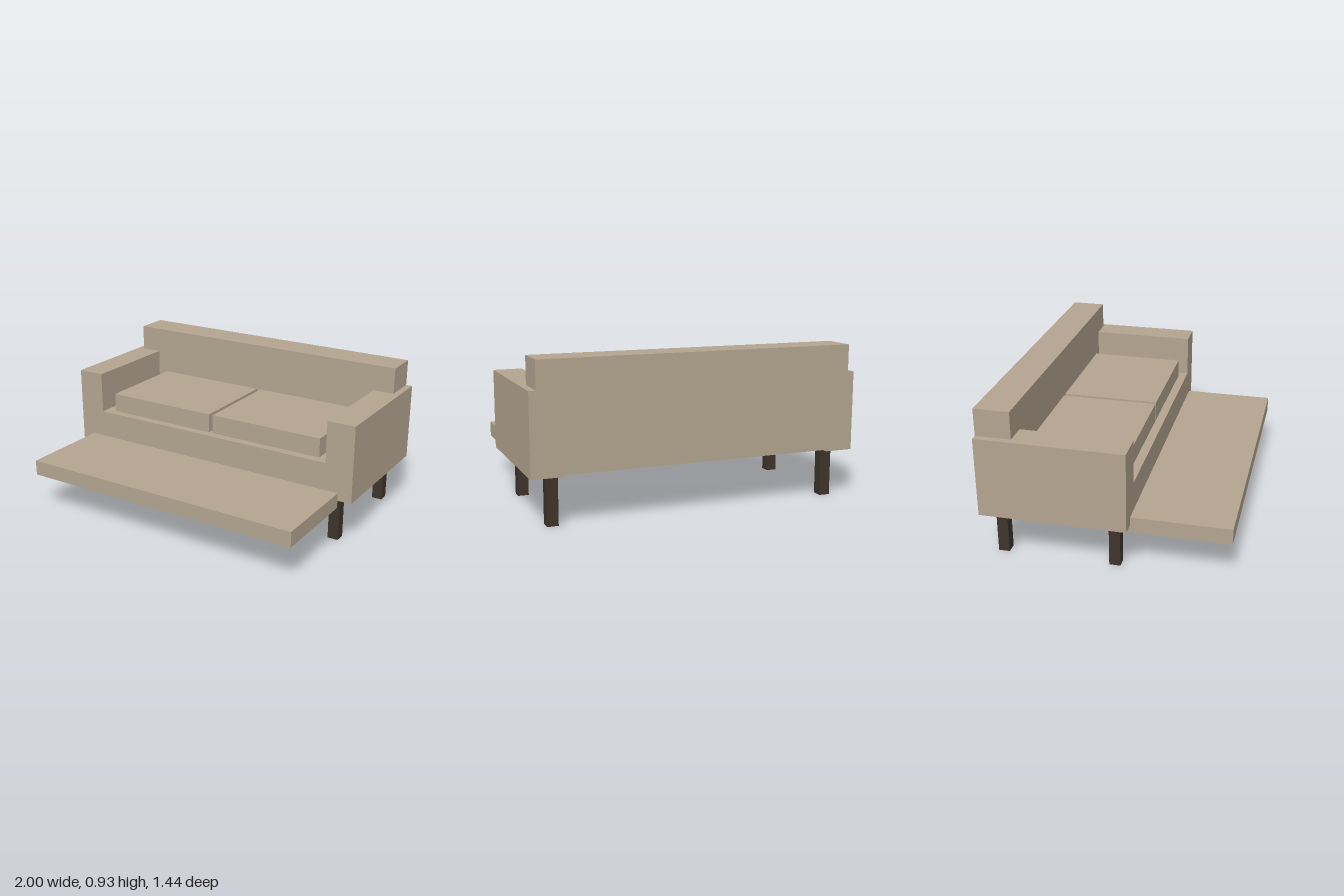
import * as THREE from 'three';

export function createModel() {
  const sofa = new THREE.Group();
  sofa.name = 'sofa';
  const fabric = new THREE.MeshStandardMaterial({ name: 'beige fabric', color: 0xb3a48f });
  const wood = new THREE.MeshStandardMaterial({ name: 'dark wood', color: 0x3d342b });

  // Box given by its lower and upper corners
  function box(name, material, [x0, y0, z0], [x1, y1, z1]) {
    const geometry = new THREE.BoxGeometry(x1 - x0, y1 - y0, z1 - z0);
    const mesh = new THREE.Mesh(geometry, material);
    mesh.position.set((x0 + x1) / 2, (y0 + y1) / 2, (z0 + z1) / 2);
    mesh.name = name;
    sofa.add(mesh);
  }

  const back = -0.72, front = 0.143, backrestFront = -0.51;
  const armInner = 0.825, armTop = 0.77, armBottom = 0.29;

  // Seat base, slightly recessed between the arms underneath
  box('seatBase', fabric, [-armInner, 0.3, backrestFront], [armInner, 0.51, front]);

  // Backrest: narrow between the arms, wider where it rests on top of them
  const profile = new THREE.Shape([
    [-armInner, 0.3], [armInner, 0.3], [armInner, armTop], [0.96, armTop],
    [0.96, 0.934], [-0.96, 0.934], [-0.96, armTop], [-armInner, armTop],
  ].map(([x, y]) => new THREE.Vector2(x, y)));
  const backrest = new THREE.Mesh(
    new THREE.ExtrudeGeometry(profile, { depth: backrestFront - back, bevelEnabled: false }), fabric);
  backrest.position.z = back;
  backrest.name = 'backrest';
  sofa.add(backrest);

  // Mirrored arms, seat cushions and legs
  for (const [side, s] of [['left', 1], ['right', -1]]) {
    const pair = (name, material, xa, xb, y0, y1, z0, z1) => box(side + name, material,
      [Math.min(s * xa, s * xb), y0, z0], [Math.max(s * xa, s * xb), y1, z1]);
    pair('Arm', fabric, armInner, 1, armBottom, armTop, back, front);
    pair('Cushion', fabric, 0.013, 0.758, 0.51, 0.63, backrestFront, 0.09);
    pair('FrontLeg', wood, 0.832, 0.898, 0, armBottom + 0.01, 0.015, 0.081);
    pair('BackLeg', wood, 0.832, 0.898, 0, armBottom + 0.01, -0.656, -0.59);
  }

  // Pull-out panel in front of the base
  box('pullOutPanel', fabric, [-0.912, 0.243, front], [0.912, 0.338, 0.72]);

  return sofa;
}
